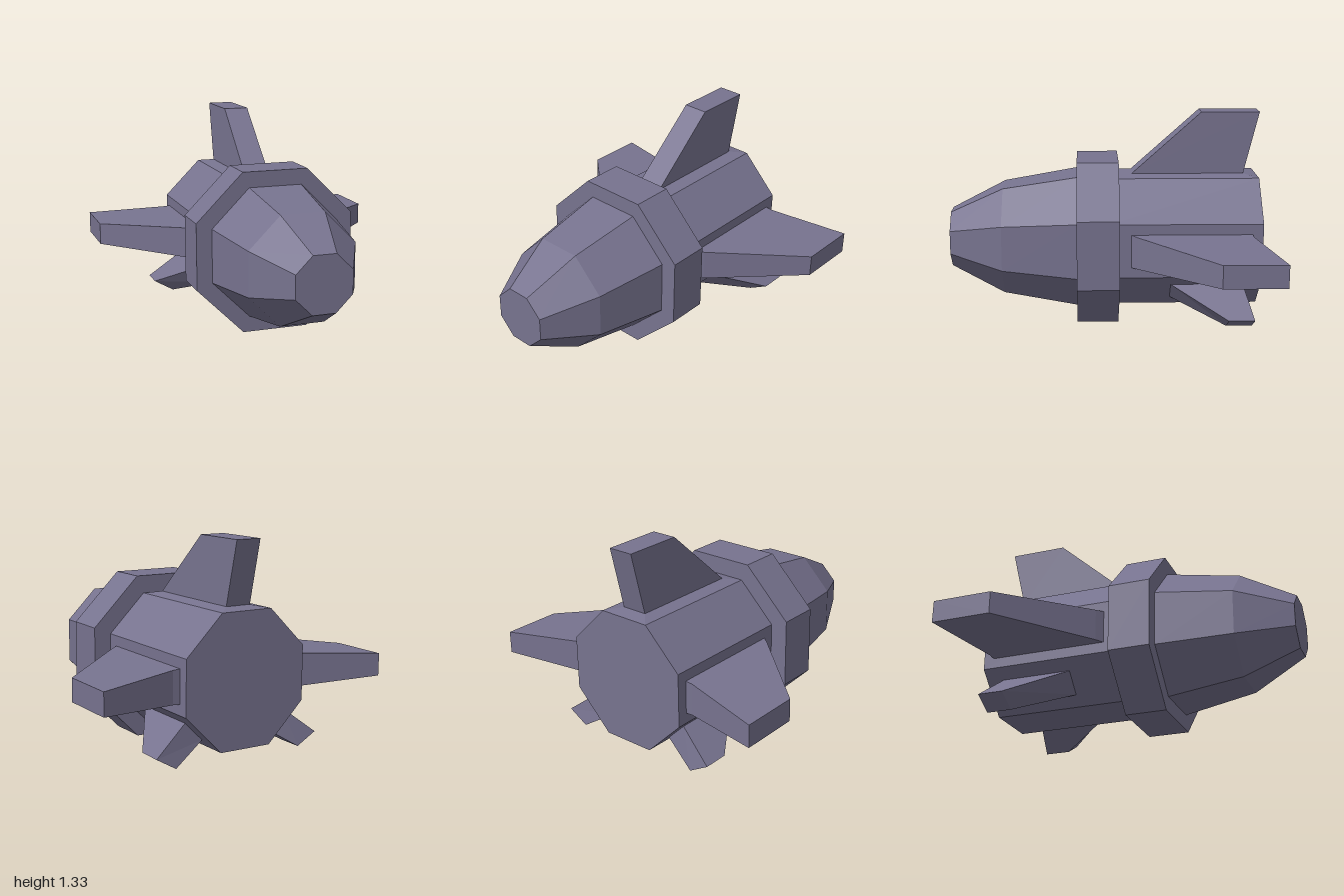
import * as THREE from 'three';

const paint = new THREE.MeshStandardMaterial({ color: 0x77738f, flatShading: true });
const AXIS_Y = 0.515;

function part(name, geometry) {
  const mesh = new THREE.Mesh(geometry, paint);
  mesh.name = name;
  return mesh;
}

// Eight-sided solid along z, from [half width across flats, z] pairs running back to front
function octagon(name, profile) {
  const toCorner = 1 / Math.cos(Math.PI / 8);
  const points = profile.map(([half, z]) => new THREE.Vector2(half * toCorner, z));
  const geometry = new THREE.LatheGeometry(points, 8, Math.PI / 8, Math.PI * 2).toNonIndexed();
  geometry.rotateX(Math.PI / 2).translate(0, AXIS_Y, 0);
  geometry.computeVertexNormals();
  return part(name, geometry);
}

// Four-cornered sections from root to tip, counterclockwise seen from the tip; side -1 mirrors in x
function fin(name, sections, side = 1) {
  const rings = sections.map((s) => {
    const ring = s.map(([x, y, z]) => [x * side, y, z]);
    return side < 0 ? ring.reverse() : ring;
  });
  const positions = [];
  const quad = (a, b, c, d) => positions.push(...a, ...b, ...c, ...a, ...c, ...d);
  for (let k = 0; k < rings.length - 1; k++) {
    const p = rings[k], q = rings[k + 1];
    for (let i = 0; i < 4; i++) {
      const j = (i + 1) % 4;
      quad(p[i], p[j], q[j], q[i]);
    }
  }
  quad(...rings[rings.length - 1]);
  const geometry = new THREE.BufferGeometry();
  geometry.setAttribute('position', new THREE.Float32BufferAttribute(positions, 3));
  geometry.computeVertexNormals();
  return part(name, geometry);
}

// Section lying flat, for the upright fin
const flat = (w, y, front, back) => [[w, y, front], [w, y, back], [-w, y, back], [-w, y, front]];

// Section facing sideways, between an upper and a lower [x, y] edge
const facing = ([xt, yt], [xb, yb], front, back) =>
  [[xt, yt, front], [xb, yb, front], [xb, yb, back], [xt, yt, back]];

export function createModel() {
  const ship = new THREE.Group();
  ship.name = 'spaceship';

  // Fuselage
  ship.add(octagon('rearHull', [[0, -0.94], [0.405, -0.94], [0.405, 0]]));
  ship.add(octagon('collar', [[0, -0.06], [0.515, -0.06], [0.515, 0.2], [0, 0.2]]));
  ship.add(octagon('nose', [[0.415, 0.2], [0.338, 0.665], [0.175, 1], [0, 1]]));

  // Tail fin rising from a low raised saddle
  ship.add(fin('tailFin', [
    flat(0.168, 0.92, -0.06, -0.94),
    flat(0.082, 0.936, -0.145, -0.85),
    flat(0.08, 1.325, -0.58, -0.945),
  ]));

  for (const side of [1, -1]) {
    const label = side > 0 ? 'left' : 'right';
    // Swept wing with a short straight root
    ship.add(fin(label + 'Wing', [
      facing([0.4, 0.618], [0.4, 0.412], -0.13, -0.875),
      facing([0.45, 0.614], [0.45, 0.415], -0.168, -0.875),
      facing([0.95, 0.582], [0.95, 0.443], -0.625, -1),
    ], side));
    // Small stabiliser on the lower diagonal face
    ship.add(fin(label + 'Stabiliser', [
      facing([0.342, 0.285], [0.225, 0.17], -0.38, -0.83),
      facing([0.56, 0.117], [0.432, 0.043], -0.72, -0.88),
    ], side));
  }
  return ship;
}
